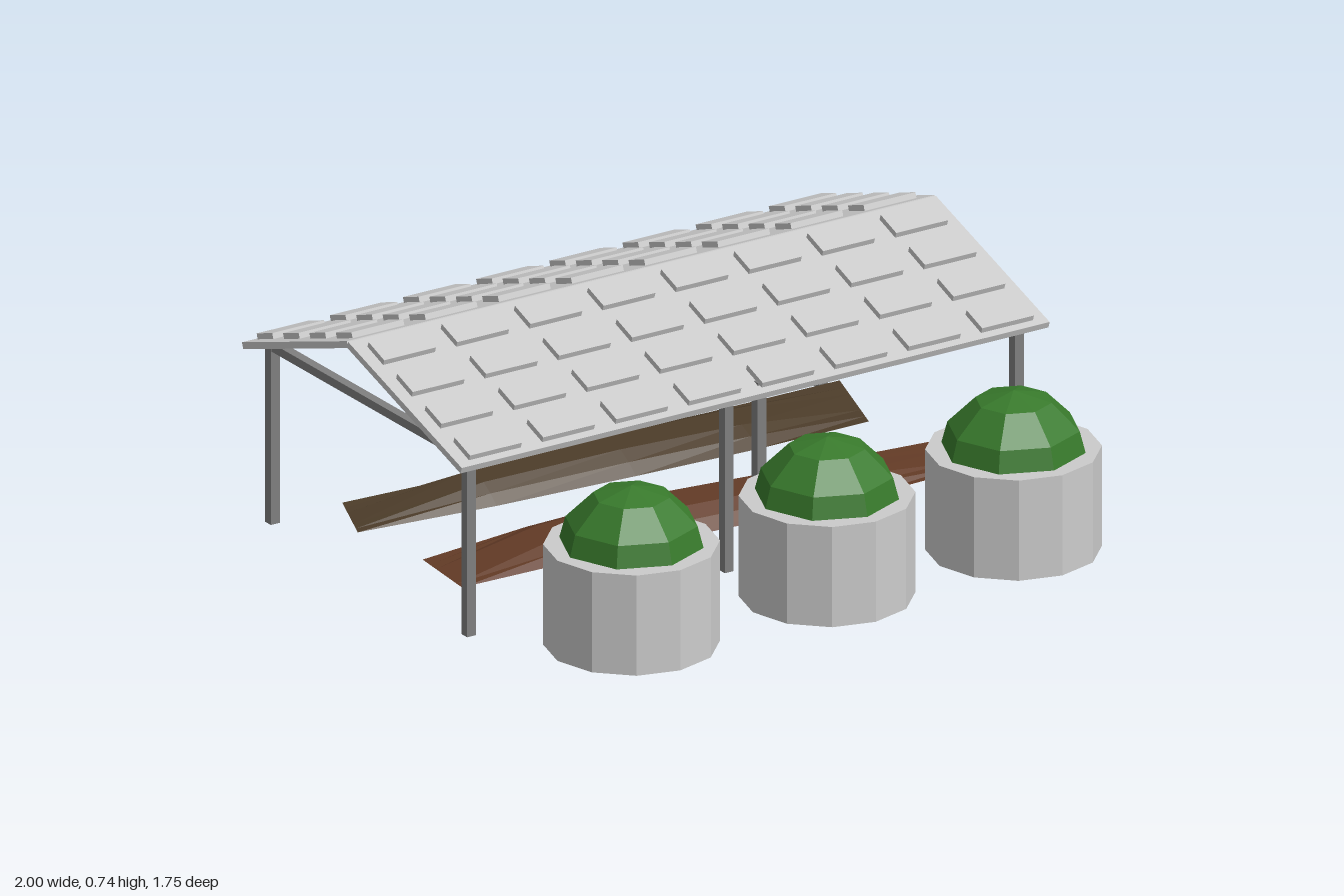
import * as THREE from 'three';

const mat = (color) => new THREE.MeshStandardMaterial({ color, flatShading: true });
const grey = mat(0xcccccc), postGrey = mat(0x808080), green = mat(0x387a2c);
const frontSoil = mat(0x633b26), backSoil = mat(0x4d3d2a);

function add(parent, name, geometry, material, x = 0, y = 0, z = 0) {
  const mesh = new THREE.Mesh(geometry, material);
  mesh.name = name;
  mesh.position.set(x, y, z);
  parent.add(mesh);
  return mesh;
}

// Low mound lofted along x; stations are [frontX, backX, frontZ, backZ, height]
function moundGeometry(stations, baseY) {
  const profile = [[0, 0], [0.13, 0.55], [0.28, 1], [0.66, 1], [0.82, 0.6], [1, 0]];
  const n = profile.length, pos = [], index = [];
  for (const [xf, xb, zf, zb, h] of stations)
    for (const [t, v] of profile)
      pos.push(xf + (xb - xf) * t, baseY + h * v, zf + (zb - zf) * t);
  for (let i = 0; i < stations.length - 1; i++)
    for (let j = 0; j < n; j++) {
      const a = i * n + j, b = i * n + (j + 1) % n;
      index.push(a, a + n, b + n, a, b + n, b);
    }
  const g = new THREE.BufferGeometry();
  g.setAttribute('position', new THREE.Float32BufferAttribute(pos, 3));
  g.setIndex(index);
  g.computeVertexNormals();
  return g;
}

export function createModel() {
  const model = new THREE.Group();
  model.name = 'gardenShelter';
  const ridgeZ = -0.31, ridgeY = 0.723, run = 0.56, drop = 0.197;
  const angle = Math.atan2(drop, run), length = Math.hypot(run, drop);

  // Two roof slopes, each slightly skewed and covered with raised tiles
  const tileGeo = new THREE.BoxGeometry(0.175, 0.022, 0.085);
  for (const side of [1, -1]) {
    const slope = new THREE.Group();
    slope.name = side > 0 ? 'frontRoofSlope' : 'backRoofSlope';
    slope.position.set(0, ridgeY - drop / 2, ridgeZ + side * run / 2);
    slope.rotation.x = side * angle;
    const skew = (z) => 0.015 * side * z / length;
    const slab = new THREE.BoxGeometry(1.985, 0.02, length);
    const p = slab.attributes.position;
    for (let i = 0; i < p.count; i++) p.setX(i, p.getX(i) + skew(p.getZ(i)));
    add(slope, 'roofSlab', slab, grey);
    for (let row = 0; row < 4; row++) {
      const z = side * ((0.075 + row * 0.141) / Math.cos(angle) - length / 2);
      for (let col = 0; col < 8; col++)
        add(slope, 'roofTile', tileGeo, grey, (col - 3.5) * 0.247 + skew(z), 0.016, z);
    }
    model.add(slope);
  }

  // Post frames with a tie beam across each
  const postGeo = new THREE.BoxGeometry(0.03, 0.55, 0.03);
  const beamGeo = new THREE.BoxGeometry(0.028, 0.026, 1.04);
  for (const x of [-0.93, -0.06, 0.05, 0.92]) {
    const frame = new THREE.Group();
    frame.name = 'postFrame';
    add(frame, 'frontPost', postGeo, postGrey, x, 0.275, 0.205);
    add(frame, 'backPost', postGeo, postGrey, x, 0.275, -0.8);
    add(frame, 'tieBeam', beamGeo, postGrey, x, 0.541, -0.298);
    model.add(frame);
  }

  // Round planters, each with a faceted bush
  const tubGeo = new THREE.CylinderGeometry(0.25, 0.25, 0.305, 12);
  const bushGeo = new THREE.SphereGeometry(0.22, 8, 6);
  for (const x of [-0.655, 0.005, 0.635]) {
    const planter = new THREE.Group();
    planter.name = 'planter';
    add(planter, 'planterTub', tubGeo, grey, x, 0.2085, 0.622);
    add(planter, 'bush', bushGeo, green, x, 0.315, 0.622);
    model.add(planter);
  }

  // Two long soil beds under the roof, tapering to thin ends
  add(model, 'frontSoilBed', moundGeometry([
    [-0.867, -0.845, 0.075, -0.16, 0],
    [-0.5, -0.5, 0.085, -0.2, 0.045],
    [-0.1, -0.1, 0.11, -0.205, 0.055],
    [0.35, 0.35, 0.14, -0.15, 0.05],
    [0.776, 0.874, 0.12, -0.105, 0],
  ], 0.085), frontSoil);
  add(model, 'backSoilBed', moundGeometry([
    [-0.886, -0.8, -0.43, -0.64, 0],
    [-0.45, -0.45, -0.38, -0.62, 0.05],
    [0, 0, -0.35, -0.63, 0.055],
    [0.4, 0.4, -0.33, -0.635, 0.045],
    [0.774, 0.874, -0.33, -0.632, 0],
  ], 0.085), backSoil);

  return model;
}
